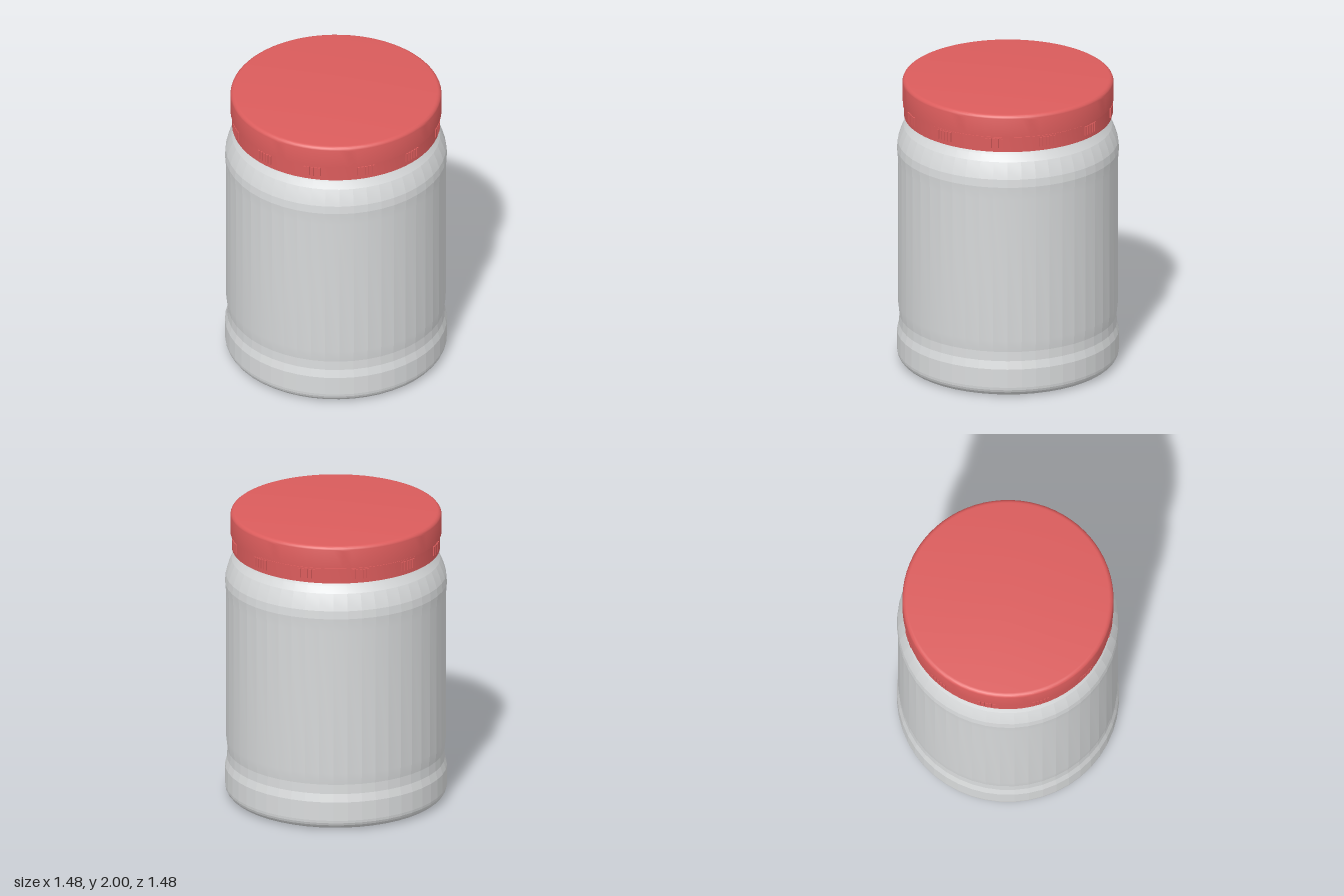
import * as THREE from 'three';
import { toCreasedNormals } from 'three/addons/utils/BufferGeometryUtils.js';

const jarGrey = new THREE.MeshStandardMaterial({ color: 0xd9dbdc });
jarGrey.name = 'pale grey plastic';
const lidRed = new THREE.MeshStandardMaterial({ color: 0xdb5c5c });
lidRed.name = 'red plastic';

// Quarter-round profile points; from and to are angles in radians
function arc(cx, cy, r, from, to, steps) {
  return Array.from({ length: steps + 1 }, (_, i) => {
    const a = from + ((to - from) * i) / steps;
    return [cx + r * Math.cos(a), cy + r * Math.sin(a)];
  });
}

// Turned part from a bottom-to-top outer profile
function turned(name, profile, segments, material, crease) {
  const points = profile.map(([x, y]) => new THREE.Vector2(x, y));
  const geometry = toCreasedNormals(new THREE.LatheGeometry(points, segments), crease);
  const mesh = new THREE.Mesh(geometry, material);
  mesh.name = name;
  return mesh;
}

export function createModel() {
  const jar = new THREE.Group();
  jar.name = 'jar';

  // Body: rounded foot, shallow waist, straight wall, curved shoulder, neck
  jar.add(turned('body', [
    [0, 0],
    ...arc(0.668, 0.07, 0.07, -Math.PI / 2, 0, 6),
    [0.738, 0.2], [0.724, 0.255], [0.722, 0.32], [0.731, 0.4],
    [0.731, 1.41], [0.738, 1.5], [0.733, 1.555], [0.717, 1.61],
    [0.694, 1.665], [0.668, 1.71], [0.65, 1.75], [0.645, 1.84],
  ], 48, jarGrey, 0.12));

  // Tamper ring under the cap
  jar.add(turned('tamperRing', [
    [0.645, 1.8], [0.66, 1.738], [0.692, 1.738], [0.692, 1.842], [0.645, 1.842],
  ], 72, lidRed, 0.5));

  // Cap with a rounded top edge
  jar.add(turned('cap', [
    [0.63, 1.848], [0.702, 1.848],
    ...arc(0.672, 1.97, 0.03, 0, Math.PI / 2, 6),
    [0, 2],
  ], 72, lidRed, 0.5));

  // Twelve clusters of small grip ribs around the ring
  const ribs = new THREE.Group();
  ribs.name = 'gripRibs';
  const ribShape = new THREE.BoxGeometry(0.016, 0.066, 0.02);
  for (let c = 0; c < 12; c++) {
    for (let i = -2; i <= 2; i++) {
      const angle = (c * Math.PI) / 6 + i * 0.036;
      const rib = new THREE.Mesh(ribShape, lidRed);
      rib.name = 'gripRib';
      rib.position.set(Math.sin(angle) * 0.69, 1.8, Math.cos(angle) * 0.69);
      rib.rotation.y = angle;
      ribs.add(rib);
    }
  }
  jar.add(ribs);
  return jar;
}
